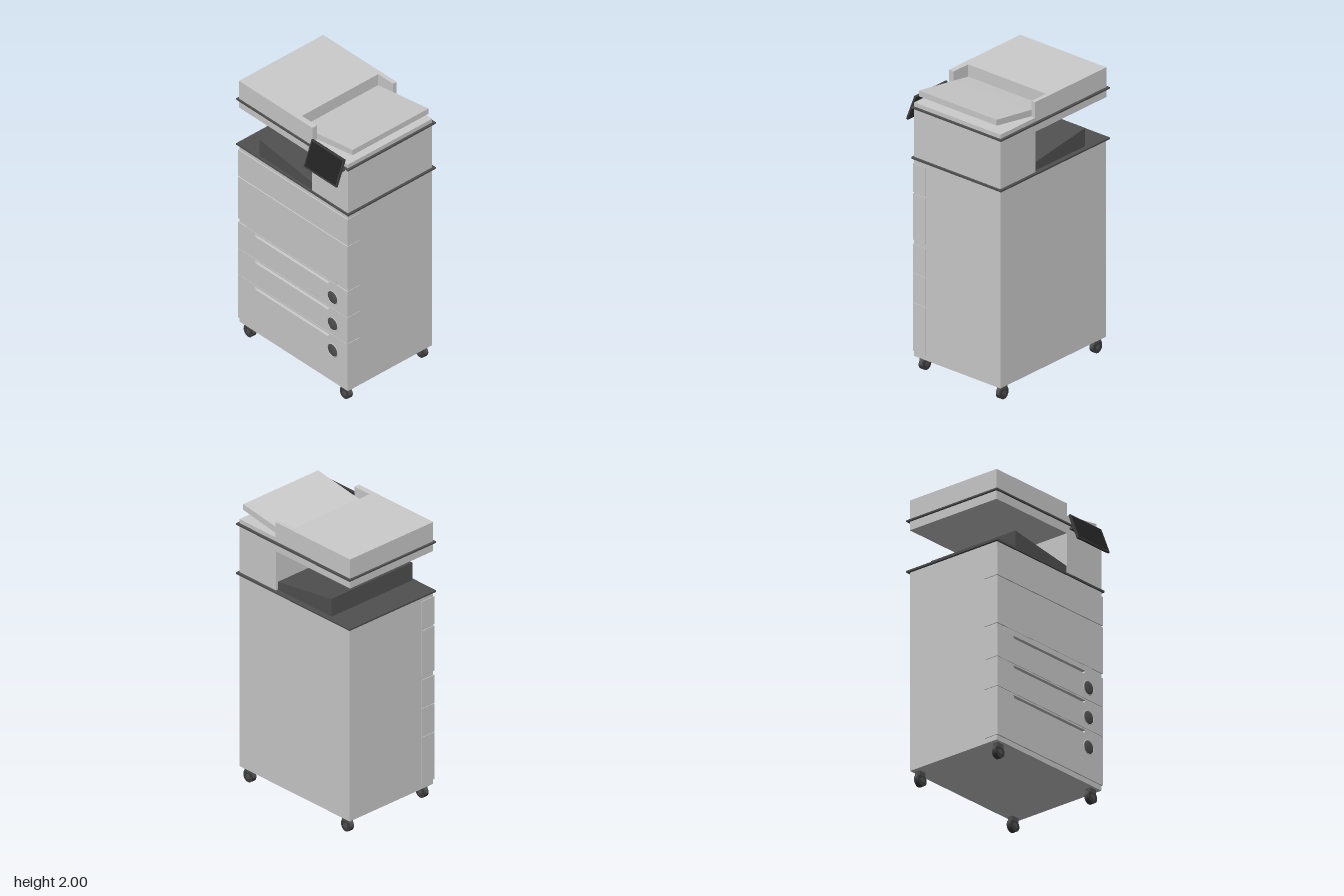
import * as THREE from 'three';

const grey = new THREE.MeshStandardMaterial({ color: 0xcccccc });
const dark = new THREE.MeshStandardMaterial({ color: 0x505050 });
const frameMat = new THREE.MeshStandardMaterial({ color: 0x3c3c3c });
const black = new THREE.MeshStandardMaterial({ color: 0x222222 });

export function createModel() {
  const model = new THREE.Group();

  const add = (name, geometry, material, parent = model) => {
    const mesh = new THREE.Mesh(geometry, material);
    mesh.name = name;
    parent.add(mesh);
    return mesh;
  };
  // box given by its limits
  const box = (name, x0, x1, y0, y1, z0, z1, material = grey, parent = model) => {
    const mesh = add(name, new THREE.BoxGeometry(x1 - x0, y1 - y0, z1 - z0), material, parent);
    mesh.position.set((x0 + x1) / 2, (y0 + y1) / 2, (z0 + z1) / 2);
    return mesh;
  };
  const polygon = (points) => new THREE.Shape(points.map(([x, y]) => new THREE.Vector2(x, y)));
  // xy outline extruded from z0 to z1
  const slab = (name, shape, z0, z1, material = grey) => {
    const geometry = new THREE.ExtrudeGeometry(shape, { depth: z1 - z0, bevelEnabled: false });
    geometry.translate(0, 0, z0);
    return add(name, geometry, material);
  };

  // Cabinet: main body, set-back core behind the drawers, plinth and upper core
  box('cabinetBody', -0.51, 0.51, 0.1, 1.495, -0.4, 0.25);
  box('plinth', -0.51, 0.51, 0.1, 0.135, 0.25, 0.33);
  box('drawerCore', -0.51, 0.51, 0.135, 0.89, 0.25, 0.312);
  box('upperCore', -0.51, 0.51, 0.89, 1.495, 0.25, 0.33);
  box('frontLatch', -0.435, 0.41, 0.89, 0.92, 0.3, 0.335);

  // Plain front doors
  box('upperDoor', -0.515, 0.513, 1.257, 1.46, 0.23, 0.338);
  box('lowerDoor', -0.515, 0.513, 0.92, 1.246, 0.23, 0.338);

  // Drawers with a grip slot and a round knob
  const drawers = [
    { y0: 0.686, y1: 0.89, grip: 0.88, knob: 0.772 },
    { y0: 0.478, y1: 0.683, grip: 0.673, knob: 0.563 },
    { y0: 0.135, y1: 0.475, grip: 0.463, knob: 0.355 },
  ];
  for (const { y0, y1, grip, knob } of drawers) {
    const face = polygon([[-0.515, y0], [0.513, y0], [0.513, y1], [-0.515, y1]]);
    face.holes.push(polygon([[-0.36, grip], [-0.345, grip - 0.022], [0.33, grip - 0.022], [0.345, grip]]));
    slab('drawer', face, 0.23, 0.338);

    const ring = add('knobRing', new THREE.TorusGeometry(0.047, 0.003, 8, 40), grey);
    ring.position.set(0.375, knob, 0.338);
    const dome = add('drawerKnob', new THREE.SphereGeometry(0.045, 32, 16), dark);
    dome.scale.z = 0.18;
    dome.position.set(0.375, knob, 0.337);
  }

  // Casters
  for (const sx of [-1, 1]) {
    for (const z of [0.29, -0.364]) {
      const caster = new THREE.Group();
      caster.name = 'caster';
      caster.position.set(sx * 0.452, 0, z);
      caster.scale.x = 1;
      model.add(caster);
      const wheel = add('wheel', new THREE.CylinderGeometry(0.041, 0.041, 0.036, 28), frameMat, caster);
      wheel.rotation.x = Math.PI / 2;
      wheel.position.y = 0.041;
      const hub = add('hub', new THREE.CylinderGeometry(0.018, 0.018, 0.044, 20), dark, caster);
      hub.rotation.x = Math.PI / 2;
      hub.position.y = 0.041;
      const hood = add('hood',
        new THREE.CylinderGeometry(0.047, 0.047, 0.026, 20, 1, false, Math.PI / 2, Math.PI), dark, caster);
      hood.rotation.x = Math.PI / 2;
      hood.rotation.z = 0;
      hood.position.y = 0.044;
      box('stem', -0.028, 0.028, 0.07, 0.102, -0.02, 0.02, dark, caster);
    }
  }

  // Thin dark trim plates below and above the paper outlet
  box('outletPlate', -0.527, 0.525, 1.494, 1.506, -0.418, 0.342, dark);
  box('scannerPlate', -0.527, 0.525, 1.85, 1.861, -0.418, 0.342, dark);

  // Paper outlet: support column and sloping tray
  box('column', 0.172, 0.51, 1.506, 1.79, -0.4, 0.33);
  slab('outputTray', polygon([[-0.325, 1.506], [0.172, 1.506], [0.172, 1.563], [-0.325, 1.635]]), -0.385, 0.325, dark);

  // Scanner bed and feeder cover with side walls around the document slot
  box('scannerBed', -0.513, 0.51, 1.79, 1.85, -0.4, 0.33);
  box('feederBase', -0.513, 0.51, 1.861, 1.89, -0.4, 0.33);
  box('feederCover', -0.513, 0.035, 1.89, 2, -0.4, 0.33);
  box('feederSideFront', 0.035, 0.175, 1.89, 2, 0.29, 0.33);
  box('feederSideBack', 0.035, 0.175, 1.89, 2, -0.4, -0.37);
  slab('documentTray',
    polygon([[0.035, 1.89], [0.17, 1.89], [0.51, 1.945], [0.51, 1.986], [0.172, 1.936], [0.035, 1.914]]),
    -0.368, 0.289);

  // Tilted control panel on a short arm
  box('panelArm', 0.2, 0.48, 1.825, 1.84, 0.32, 0.372, dark);
  const panel = new THREE.Group();
  panel.name = 'controlPanel';
  panel.position.set(0.338, 1.831, 0.374);
  panel.rotation.x = -0.37;
  model.add(panel);
  box('panelFrame', -0.153, 0.153, -0.098, 0.098, -0.008, 0.007, frameMat, panel);
  box('screen', -0.143, 0.143, -0.087, 0.087, 0, 0.009, black, panel);

  return model;
}
